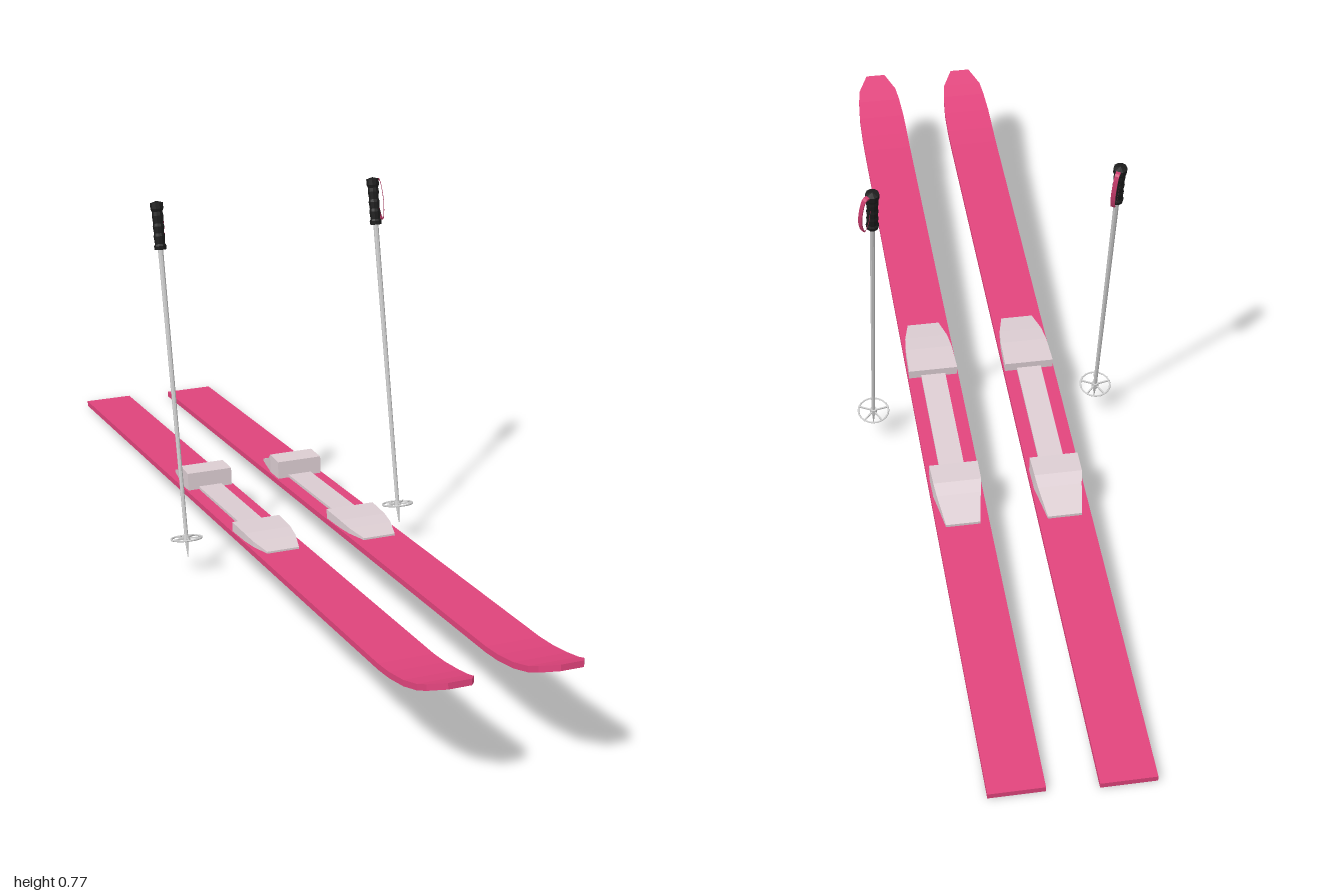
import * as THREE from 'three';

const mat = (color) => new THREE.MeshStandardMaterial({ color, flatShading: true });
const PINK = mat(0xe0447c), PALE = mat(0xdccdd2), BLACK = mat(0x1c1c1c), GREY = mat(0xcccccc);
const STRAP = mat(0xc83c6c);

function add(parent, name, geometry, material) {
  const mesh = new THREE.Mesh(geometry, material);
  mesh.name = name;
  parent.add(mesh);
  return mesh;
}

// Rectangular sections [z, halfWidth, bottom, top] joined along z, capped at both ends
function loft(sections) {
  const rings = sections.map(([z, w, y0, y1]) => [[-w, y0, z], [w, y0, z], [w, y1, z], [-w, y1, z]]);
  const pos = [];
  const quad = (a, b, c, d) => [a, b, c, a, c, d].forEach((p) => pos.push(...p));
  for (let s = 0; s < rings.length - 1; s++) {
    for (let i = 0; i < 4; i++) {
      const j = (i + 1) % 4;
      quad(rings[s][i], rings[s][j], rings[s + 1][j], rings[s + 1][i]);
    }
  }
  const [a, b, c, d] = rings[0];
  quad(d, c, b, a);
  quad(...rings[rings.length - 1]);
  const g = new THREE.BufferGeometry();
  g.setAttribute('position', new THREE.Float32BufferAttribute(pos, 3));
  g.computeVertexNormals();
  return g;
}

// Ski runs along +z from its tail, with an upturned, narrowing tip
function makeSki() {
  const ski = new THREE.Group();
  const t = 0.012;
  const board = [[0, 0.054, 0], [1.86, 0.054, 0], [1.91, 0.054, 0.003], [1.97, 0.053, 0.011],
    [2.02, 0.049, 0.022], [2.05, 0.044, 0.032], [2.09, 0.022, 0.046]];
  add(ski, 'skiBoard', loft(board.map(([z, w, y]) => [z, w, y, y + t])), PINK);

  // binding: plate, toe piece and heel piece
  add(ski, 'bindingPlate', loft([[0.77, 0.026, t, t + 0.006], [1.1, 0.026, t, t + 0.006]]), PALE);
  add(ski, 'toePiece', loft([[1.08, 0.052, t, t + 0.02], [1.15, 0.05, t, t + 0.017],
    [1.19, 0.046, t, t + 0.012], [1.24, 0.034, t, t + 0.004]]), PALE);
  add(ski, 'heelPiece', loft([[0.648, 0.035, t, t + 0.006], [0.71, 0.045, t, t + 0.026],
    [0.732, 0.049, t, t + 0.041], [0.785, 0.05, t, t + 0.038]]), PALE);
  return ski;
}

// Pole stands along +y from its tip
function makePole(strapAngle) {
  const pole = new THREE.Group();
  const up = (name, r1, r0, y0, y1, m, n = 8) => {
    const mesh = add(pole, name, new THREE.CylinderGeometry(r1, r0, y1 - y0, n), m);
    mesh.position.y = (y0 + y1) / 2;
  };
  up('tip', 0.0045, 0.0008, 0, 0.04, GREY);
  up('shaft', 0.0055, 0.004, 0.04, 0.66, GREY);
  up('basketHub', 0.007, 0.008, 0.034, 0.046, GREY);

  // basket ring with five spokes
  const ring = add(pole, 'basketRing', new THREE.TorusGeometry(0.032, 0.002, 6, 20), GREY);
  ring.rotation.x = Math.PI / 2;
  ring.position.y = 0.04;
  for (let i = 0; i < 5; i++) {
    const a = (i / 5) * Math.PI * 2;
    const spoke = add(pole, 'basketSpoke', new THREE.BoxGeometry(0.032, 0.003, 0.003), GREY);
    spoke.position.set(Math.cos(a) * 0.016, 0.04, Math.sin(a) * 0.016);
    spoke.rotation.y = -a;
  }

  // ribbed grip
  const profile = [[0, 0.642], [0.012, 0.642], [0.013, 0.65], [0.0105, 0.654], [0.012, 0.67], [0.0105, 0.676],
    [0.012, 0.69], [0.0105, 0.696], [0.012, 0.712], [0.011, 0.72], [0.0135, 0.726], [0.0135, 0.738], [0, 0.742]];
  add(pole, 'grip', new THREE.LatheGeometry(profile.map((p) => new THREE.Vector2(...p)), 10), BLACK);

  // wrist strap: a thin closed band hanging from the grip
  const pts = [[0.005, 0.735], [0.02, 0.738], [0.031, 0.71], [0.033, 0.675], [0.025, 0.65], [0.015, 0.665], [0.008, 0.7]];
  const loop = (k) => new THREE.CatmullRomCurve3(pts.map(([x, y]) =>
    new THREE.Vector3(0.02 + (x - 0.02) * k, 0.695 + (y - 0.695) * (k + 1) / 2, 0)), true)
    .getPoints(24).slice(0, -1).map((p) => new THREE.Vector2(p.x, p.y));
  const shape = new THREE.Shape(loop(1));
  shape.holes.push(new THREE.Path(loop(0.82)));
  const band = new THREE.ExtrudeGeometry(shape, { depth: 0.009, bevelEnabled: false });
  band.translate(0, 0, -0.0045);
  add(pole, 'wristStrap', band, STRAP).rotation.y = strapAngle;
  return pole;
}

export function createModel() {
  const model = new THREE.Group();
  model.name = 'skisAndPoles';

  // two parallel skis, turned sideways and pitched nose up
  [['rightSki', -0.53, -0.895], ['leftSki', -0.34, -0.977]].forEach(([name, x, z]) => {
    const ski = makeSki();
    ski.name = name;
    ski.rotation.set(-0.0873, 0.4443, 0, 'YXZ');
    ski.position.set(x, 0, z);
    model.add(ski);
  });

  // two leaning poles
  const lean = new THREE.Vector3(-0.074, 0.72, -0.16).normalize();
  [['rightPole', -0.208, 0.1, 1.5], ['leftPole', 0.222, -0.117, 1.1]].forEach(([name, x, z, strap]) => {
    const pole = makePole(strap);
    pole.name = name;
    pole.quaternion.setFromUnitVectors(new THREE.Vector3(0, 1, 0), lean);
    pole.position.set(x, 0.045, z);
    model.add(pole);
  });
  return model;
}
